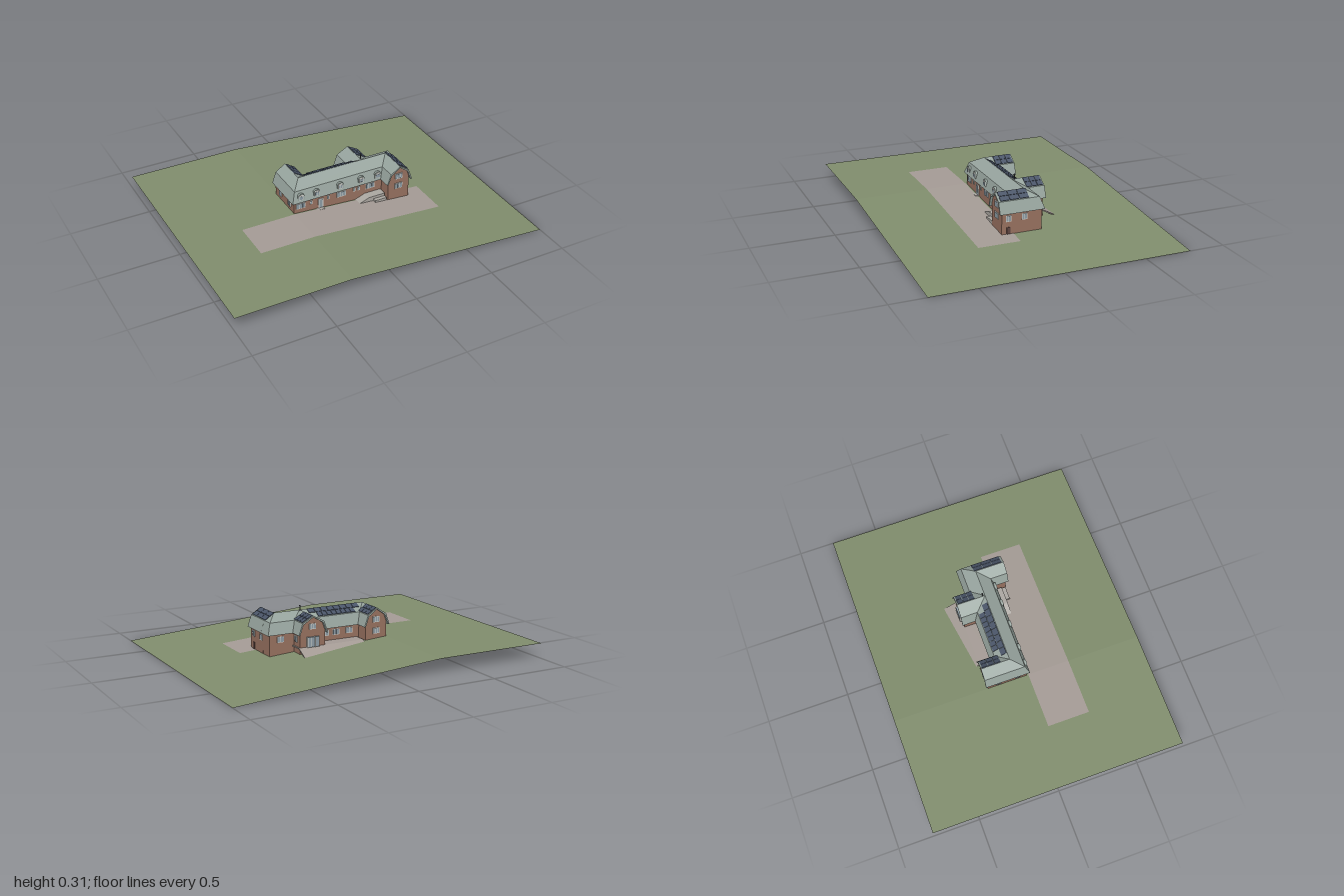
import * as THREE from 'three';

const mat = (color, double = false) => {
  const m = new THREE.MeshStandardMaterial({ color, flatShading: true });
  if (double) m.side = THREE.DoubleSide;
  return m;
};
const M = {
  grass: mat(0x7f8c6c, true), paving: mat(0xa39a94, true), brick: mat(0x96705f),
  roof: mat(0x96a39d, true), panel: mat(0x4a5568), frame: mat(0xd2d2cc),
  glass: mat(0x8b9aa3), door: mat(0x5e4540), stone: mat(0xaaa6a0, true), dark: mat(0x45484a),
};
const EAVE = 0.167, BREAK = 0.238, RIDGE = 0.278, INSET = 0.025;
// Ground is level on the left, then falls evenly
const ground = x => 0.092 - 0.0716 * Math.max(0, x + 0.285);

export function createModel() {
  const root = new THREE.Group();
  const add = (name, geo, material, x = 0, y = 0, z = 0, parent = root) => {
    const mesh = new THREE.Mesh(geo, material);
    mesh.name = name;
    mesh.position.set(x, y, z);
    parent.add(mesh);
    return mesh;
  };
  const box = (name, m, w, h, d, x, y, z, parent) =>
    add(name, new THREE.BoxGeometry(w, h, d), m, x, y, z, parent);
  const extrude = (pts, depth) => new THREE.ExtrudeGeometry(
    new THREE.Shape(pts.map(p => new THREE.Vector2(p[0], p[1]))), { depth, bevelEnabled: false });

  // Sheet that follows the slope of the ground
  const sheet = (name, m, x0, x1, z0, z1, lift) => {
    const xs = [x0, -0.285, x1], pos = [];
    for (let i = 0; i < 2; i++) {
      const [a, b] = [xs[i], xs[i + 1]], ya = ground(a) + lift, yb = ground(b) + lift;
      pos.push(a, ya, z0, a, ya, z1, b, yb, z1, a, ya, z0, b, yb, z1, b, yb, z0);
    }
    const g = new THREE.BufferGeometry();
    g.setAttribute('position', new THREE.Float32BufferAttribute(pos, 3));
    g.computeVertexNormals();
    add(name, g, m);
  };
  sheet('lawn', M.grass, -1, 1, -0.785, 0.785, 0);
  sheet('driveway', M.paving, -0.63, 0.57, 0.07, 0.33, 0.002);

  // Main range walls with a sloping foot
  const X0 = -0.285, X1 = 0.462;
  add('mainWalls', extrude([[X0, ground(X0)], [X1, ground(X1)], [X1, 0.175], [X0, 0.175]], 0.17),
    M.brick, 0, 0, -0.11);

  // Main roof: hipped, with a steep lower and a shallow upper slope
  const ring = (x0, x1, z0, z1, y) => [[x0, y, z1], [x1, y, z1], [x1, y, z0], [x0, y, z0]];
  const rings = [
    ring(-0.3, 0.477, -0.125, 0.075, EAVE),
    ring(-0.3 + INSET, 0.477 - INSET, -0.125 + INSET, 0.075 - INSET, BREAK),
    ring(-0.2125, 0.39, -0.025, -0.025, RIDGE),
  ];
  const pos = [];
  const quad = (a, b, c, d) => pos.push(...a, ...b, ...c, ...a, ...c, ...d);
  for (let r = 0; r < 2; r++) for (let i = 0; i < 4; i++) {
    const j = (i + 1) % 4;
    quad(rings[r][i], rings[r][j], rings[r + 1][j], rings[r + 1][i]);
  }
  quad(...[...rings[0]].reverse());
  const hip = new THREE.BufferGeometry();
  hip.setAttribute('position', new THREE.Float32BufferAttribute(pos, 3));
  hip.computeVertexNormals();
  add('mainRoof', hip, M.roof);

  // Wings: gabled walls, gambrel shell and panels on the +x slope
  const wing = (name, cx, half, zEnd, panelZ0, panelZ1) => {
    const g = new THREE.Group();
    g.name = name;
    root.add(g);
    const b = half - INSET, w = half - 0.015, s = Math.sign(zEnd), t = 0.009;
    const start = -0.025, wallEnd = zEnd - s * 0.015;
    const outer = [[-half, EAVE], [-b, BREAK], [0, RIDGE], [b, BREAK], [half, EAVE]];
    const inner = [[half - t, EAVE], [b - t * 0.7, BREAK - t], [0, RIDGE - t],
      [-b + t * 0.7, BREAK - t], [-half + t, EAVE]];
    add('wingRoof', extrude([...outer, ...inner], Math.abs(zEnd - start)), M.roof,
      cx, 0, Math.min(zEnd, start), g);
    const gable = [[-w, ground(cx - w)], [w, ground(cx + w)], [w, 0.19], [b - 0.004, BREAK - 0.006],
      [0, RIDGE - 0.005], [-b + 0.004, BREAK - 0.006], [-w, 0.19]];
    add('wingWalls', extrude(gable, Math.abs(wallEnd - start)), M.brick,
      cx, 0, Math.min(wallEnd, start), g);
    const len = Math.hypot(b, RIDGE - BREAK), n = 3, step = (panelZ1 - panelZ0) / n;
    for (let i = 0; i < n; i++) for (let k = 0; k < 2; k++) {
      const f = 0.27 + 0.47 * k;
      box('solarPanel', M.panel, len * 0.44, 0.004, step - 0.003, cx + b * f,
        RIDGE - (RIDGE - BREAK) * f + 0.003, panelZ0 + step * (i + 0.5), g)
        .rotation.z = -Math.atan2(RIDGE - BREAK, b);
    }
  };
  wing('leftRearWing', -0.2125, 0.0875, -0.205, -0.198, -0.08);
  wing('middleRearWing', 0.22, 0.097, -0.205, -0.198, -0.09);
  wing('frontWing', 0.39, 0.0875, 0.157, -0.035, 0.145);

  // Panels on the back slope of the main roof
  const run = 0.075, rise = RIDGE - BREAK;
  [[-0.17, 0.175, 0.27], [-0.125, 0.13, 0.74]].forEach(([a, b, f]) => {
    const n = 8, step = (b - a) / n;
    for (let i = 0; i < n; i++)
      box('solarPanel', M.panel, step - 0.003, 0.004, 0.037, a + step * (i + 0.5),
        RIDGE - rise * f + 0.003, -0.025 - run * f).rotation.x = -Math.atan2(rise, run);
  });

  // Framed windows; ry turns the outer side away from +z
  const win = (x, y, z, w, h, ry = 0, bars = 1, name = 'window') => {
    const g = new THREE.Group();
    g.name = name;
    g.position.set(x, y, z);
    g.rotation.y = ry;
    root.add(g);
    box('windowFrame', M.frame, w, h, 0.006, 0, 0, 0, g);
    const pane = (w - 0.004) / (bars + 1);
    for (let i = 0; i <= bars; i++)
      box('windowGlass', M.glass, pane - 0.003, h - 0.007, 0.003, pane * (i - bars / 2), 0, 0.003, g);
  };
  const F = 0.061, B = Math.PI, R = Math.PI / 2;
  [-0.24, 0.035, 0.235].forEach(x => win(x, 0.137, F, 0.062, 0.038, 0, 2));
  [-0.17, -0.055, 0.125, 0.155].forEach(x => win(x, 0.14, F, 0.016, 0.026, 0, 0));
  [0.137, 0.205].forEach(y => win(0.39, y, 0.143, 0.052, 0.038, 0, 2));
  [0.1, 0].forEach(z => win(X1 + 0.001, 0.135, z, 0.034, 0.038, R));
  win(0.303, 0.135, -0.14, 0.034, 0.038, R);
  [0.0, -0.12].forEach(z => win(X0 - 0.001, 0.135, z, 0.034, 0.038, -R));
  [0.135, 0.205].forEach(y => win(-0.2125, y, -0.191, 0.045, 0.036, B, 2));
  [-0.07, 0.02, 0.09].forEach(x => win(x, 0.138, -0.111, 0.045, 0.036, B));
  win(0.39, 0.135, -0.111, 0.045, 0.036, B);
  win(0.22, 0.212, -0.191, 0.045, 0.034, B, 2);

  // Glazed garden porch and doors
  box('porch', M.glass, 0.075, 0.06, 0.016, 0.22, 0.12, -0.196);
  for (let i = 0; i < 4; i++)
    box('porchPost', M.frame, 0.004, 0.062, 0.018, 0.1825 + i * 0.025, 0.12, -0.196);
  box('frontDoorFrame', M.frame, 0.034, 0.064, 0.006, -0.105, 0.115, F);
  box('frontDoor', M.glass, 0.022, 0.054, 0.008, -0.105, 0.113, F);
  box('sideDoor', M.door, 0.006, 0.042, 0.022, X1 + 0.001, 0.061, 0.1);

  // Arched dormers along the front lower slope
  const arch = (w, h) => {
    const s = new THREE.Shape();
    s.moveTo(-w, 0);
    s.lineTo(w, 0);
    s.lineTo(w, h);
    s.absellipse(0, h, w, w * 0.7, 0, Math.PI);
    return s;
  };
  for (const x of [-0.24, -0.135, 0.025, 0.17, 0.285]) {
    const opt = { bevelEnabled: false, curveSegments: 8 };
    add('dormer', new THREE.ExtrudeGeometry(arch(0.021, 0.028), { ...opt, depth: 0.035 }), M.roof, x, 0.181, 0.035);
    add('dormerWindow', new THREE.ExtrudeGeometry(arch(0.016, 0.025), { ...opt, depth: 0.003 }), M.frame, x, 0.183, 0.069);
    for (const s of [-1, 1])
      box('dormerGlass', M.glass, 0.012, 0.022, 0.002, x + s * 0.007, 0.197, 0.072);
  }

  // Flue beside the ridge
  add('flue', new THREE.CylinderGeometry(0.003, 0.003, 0.045, 8), M.dark, 0.225, 0.283, -0.04);
  add('flueCap', new THREE.CylinderGeometry(0.005, 0.005, 0.006, 8), M.dark, 0.225, 0.306, -0.04);

  // Rear terrace: level slab with a bank running down into the lawn
  const terrace = extrude([[0.1, 0.09], [0.19, 0.09], [0.266, 0.05], [0.266, 0.043],
    [0.188, 0.083], [0.1, 0.083]], 0.435);
  add('terrace', terrace, M.paving, -0.125, 0, 0).rotation.y = Math.PI / 2;

  // Front ramp with landing, side step and door step
  add('frontRamp', extrude([[0.13, 0.022], [0.31, 0.022], [0.31, 0.088], [0.2, 0.088], [0.13, 0.062]], 0.057),
    M.stone, 0, 0, 0.058);
  box('landingStep', M.stone, 0.08, 0.048, 0.025, 0.27, 0.046, 0.1275);
  box('doorStep', M.stone, 0.045, 0.06, 0.026, -0.11, 0.053, 0.071);

  return root;
}
